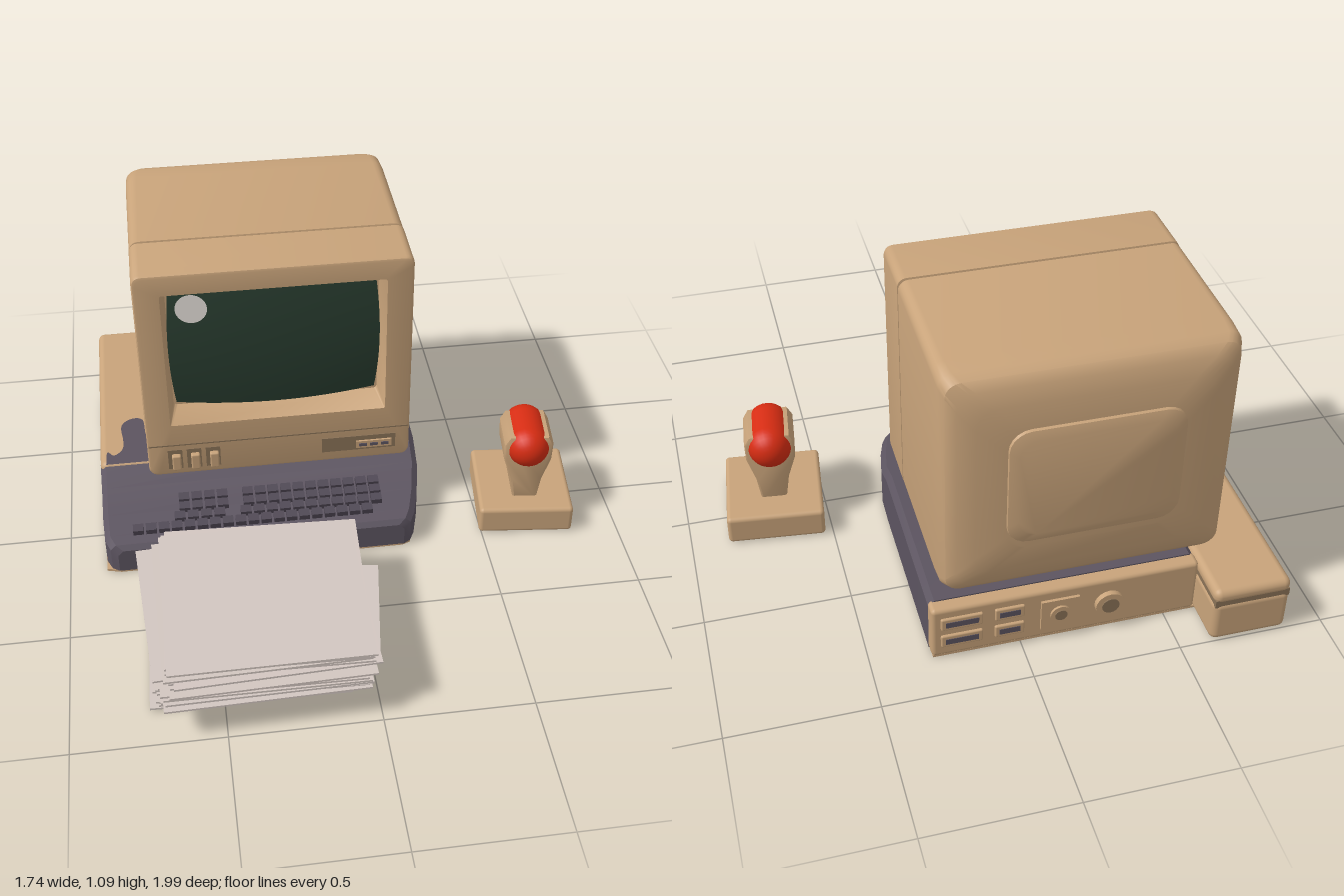
import * as THREE from 'three';
import { toCreasedNormals } from 'three/addons/utils/BufferGeometryUtils.js';
import { RoundedBoxGeometry } from 'three/addons/geometries/RoundedBoxGeometry.js';

const paint = (name, color) => {
  const m = new THREE.MeshStandardMaterial({ color });
  m.name = name;
  return m;
};

// Joins equal-length rings (counter-clockwise seen from +z) and caps both ends.
function loft(rings, crease = 0.6) {
  const n = rings[0].length, pos = rings.flat(2), idx = [];
  for (let i = 0; i < rings.length - 1; i++) {
    for (let j = 0; j < n; j++) {
      const a = i * n + j, b = i * n + (j + 1) % n;
      idx.push(a, b, b + n, a, b + n, a + n);
    }
  }
  const last = (rings.length - 1) * n;
  for (let j = 1; j < n - 1; j++) idx.push(0, j + 1, j, last, last + j, last + j + 1);
  const g = new THREE.BufferGeometry();
  g.setAttribute('position', new THREE.Float32BufferAttribute(pos, 3));
  g.setIndex(idx);
  return toCreasedNormals(g, crease);
}

// Rounded rectangle ring from its edges.
function roundRing(x0, x1, y0, y1, r, z) {
  const pts = [], corners = [[x1 - r, y0 + r], [x1 - r, y1 - r], [x0 + r, y1 - r], [x0 + r, y0 + r]];
  corners.forEach(([cx, cy], k) => {
    for (let s = 0; s <= 5; s++) {
      const a = (k - 1 + s / 5) * Math.PI / 2;
      pts.push([cx + r * Math.cos(a), cy + r * Math.sin(a), z]);
    }
  });
  return pts;
}

// Height of the keyboard deck at depth z.
function deckHeight(z) {
  if (z < -0.17) return 0.215;
  if (z < -0.06) return THREE.MathUtils.mapLinear(z, -0.17, -0.06, 0.215, 0.17);
  return THREE.MathUtils.mapLinear(z, -0.06, 0.2, 0.17, 0.115);
}

export function createModel() {
  const model = new THREE.Group();
  const tan = paint('tan plastic', 0xc8a37a);
  const brown = paint('recess brown', 0x8a7257);
  const dark = paint('dark purple grey plastic', 0x5c5460);
  const keyDark = paint('key grey', 0x4f4854);
  const green = paint('screen green', 0x293d30);
  const white = paint('glare white', 0xded9d3);
  const red = paint('red', 0xd62c12);
  const paper = paint('paper', 0xd2c6c0);

  const add = (parent, name, geo, mat, x = 0, y = 0, z = 0) => {
    const m = new THREE.Mesh(geo, mat);
    m.name = name;
    m.position.set(x, y, z);
    parent.add(m);
    return m;
  };
  const box = (parent, name, mat, w, h, d, x, y, z) =>
    add(parent, name, new THREE.BoxGeometry(w, h, d), mat, x, y, z);
  const group = (name) => {
    const g = new THREE.Group();
    g.name = name;
    model.add(g);
    return g;
  };

  // Monitor: one shell from the domed back, over the sides, into the screen recess
  const monitor = group('monitor');
  const outer = (inset, r, z) => roundRing(-0.692 + inset, 0.257 - inset, 0.235 + inset, 1.085 - inset, r, z);
  add(monitor, 'monitorShell', loft([
    outer(0.2, 0.06, -0.855), outer(0.1, 0.07, -0.84), outer(0.045, 0.06, -0.822),
    outer(0.015, 0.05, -0.8), outer(0.002, 0.045, -0.765), outer(0, 0.04, -0.7),
    outer(0, 0.035, -0.256), outer(0.007, 0.03, -0.254), outer(0.007, 0.03, -0.247), outer(0, 0.03, -0.245),
    outer(0, 0.03, -0.042), outer(0.004, 0.028, -0.033), outer(0.012, 0.025, -0.03),
    roundRing(-0.603, 0.165, 0.458, 1.006, 0.008, -0.03),
    roundRing(-0.585, 0.148, 0.485, 0.992, 0.015, -0.12),
  ]), tan);
  add(monitor, 'backPanel', loft([
    roundRing(-0.47, 0.03, 0.5, 0.87, 0.06, -0.873),
    roundRing(-0.5, 0.06, 0.465, 0.9, 0.07, -0.862),
    roundRing(-0.51, 0.07, 0.455, 0.91, 0.07, -0.82),
  ]), tan);
  box(monitor, 'foot', dark, 0.75, 0.06, 0.55, -0.215, 0.22, -0.42);

  // Bulging screen with bowed edges
  const screen = new THREE.PlaneGeometry(0.74, 0.51, 20, 16);
  const sp = screen.attributes.position;
  for (let i = 0; i < sp.count; i++) {
    const u = sp.getX(i) / 0.37, v = sp.getY(i) / 0.255;
    sp.setXYZ(i, u * 0.37 * (1 - 0.04 * v * v), v * 0.255 * (1 - 0.06 * u * u), 0.04 * (1 - 0.5 * u * u - 0.5 * v * v));
  }
  screen.computeVertexNormals();
  add(monitor, 'screen', screen, green, -0.2185, 0.74, -0.114);
  const glare = add(monitor, 'screenGlare', new THREE.CircleGeometry(0.055, 28), white, -0.5, 0.912, -0.082);
  glare.rotation.set(-0.06, -0.08, 0);

  // Lower control strip
  box(monitor, 'stripSeam', brown, 0.94, 0.005, 0.004, -0.217, 0.371, -0.0295);
  for (let i = 0; i < 3; i++) {
    const x = -0.595 + i * 0.068;
    box(monitor, 'knobRecess', brown, 0.052, 0.085, 0.004, x, 0.307, -0.029);
    add(monitor, 'knob', new RoundedBoxGeometry(0.032, 0.065, 0.024, 2, 0.006), tan, x + 0.004, 0.3, -0.022);
  }
  box(monitor, 'controlPanel', brown, 0.27, 0.062, 0.004, 0.07, 0.31, -0.029);
  box(monitor, 'panelTrim', tan, 0.13, 0.03, 0.012, 0.125, 0.306, -0.026);
  for (let i = 0; i < 3; i++) box(monitor, 'panelSlot', dark, 0.028, 0.012, 0.004, 0.085 + i * 0.04, 0.306, -0.019);

  // Computer case: lofted from back to front with a sloping deck
  const computer = group('computer');
  const section = (z, xl, xr, h = deckHeight(z), b = 0.02) => [
    [xl, 0.008, z], [xr, 0.008, z], [xr, h - b, z], [xr - b, h, z], [xl + b, h, z], [xl, h - b, z],
  ];
  add(computer, 'case', loft([
    section(-0.8, -0.61, 0.3), section(-0.17, -0.61, 0.3), section(-0.17, -0.872, 0.3),
    section(-0.06, -0.872, 0.297), section(0.06, -0.872, 0.275), section(0.15, -0.868, 0.25),
    section(0.19, -0.85, 0.23), section(0.205, -0.825, 0.205, 0.1),
  ], 0.4), dark);
  add(computer, 'casePanelBack', new RoundedBoxGeometry(0.91, 0.205, 0.06, 2, 0.015), tan, -0.155, 0.108, -0.815);
  const floor = new THREE.Shape([[-0.87, -0.19], [-0.82, -0.203], [0.2, -0.203], [0.23, -0.19], [0.295, 0.06],
    [0.295, 0.84], [-0.87, 0.84]].map(([x, y]) => new THREE.Vector2(x, y)));
  const floorGeo = new THREE.ExtrudeGeometry(floor, { depth: 0.009, bevelEnabled: false });
  add(computer, 'casePanelBottom', floorGeo.rotateX(-Math.PI / 2), tan);

  // Ports on the back
  for (const [x, y, w] of [[0.2, 0.15, 0.11], [0.2, 0.075, 0.11], [0.04, 0.075, 0.07], [0.04, 0.15, 0.07]]) {
    add(computer, 'portFrame', new RoundedBoxGeometry(w + 0.03, 0.05, 0.016, 2, 0.006), tan, x, y, -0.846);
    box(computer, 'portSlot', dark, w, 0.022, 0.006, x, y, -0.853);
  }
  box(computer, 'socketPlate', tan, 0.13, 0.12, 0.016, -0.13, 0.11, -0.847);
  for (const [x, r] of [[-0.13, 0.035], [-0.3, 0.05]]) {
    add(computer, 'roundSocket', new THREE.CylinderGeometry(r, r, 0.03, 20).rotateX(Math.PI / 2), tan, x, 0.11, -0.848);
    add(computer, 'socketHole', new THREE.CylinderGeometry(r * 0.6, r * 0.6, 0.004, 16).rotateX(Math.PI / 2), brown, x, 0.11, -0.864);
  }

  // Side unit along the right of the case
  add(computer, 'sideUnit', new RoundedBoxGeometry(0.267, 0.165, 0.86, 3, 0.025), tan, -0.7385, 0.0825, -0.57);
  add(computer, 'sideUnitLid', new RoundedBoxGeometry(0.267, 0.054, 0.86, 3, 0.025), tan, -0.7385, 0.189, -0.57);
  box(computer, 'sideUnitSeam', brown, 0.258, 0.03, 0.852, -0.7385, 0.163, -0.57);
  add(computer, 'sideUnitSocket', new THREE.TorusGeometry(0.022, 0.006, 8, 18), brown, -0.74, 0.095, -0.998 + 0.004);
  const patch = new THREE.Shape();
  patch.moveTo(-0.85, 0.14);
  patch.splineThru([[-0.845, 0.21], [-0.82, 0.19], [-0.79, 0.22], [-0.785, 0.27], [-0.79, 0.36], [-0.755, 0.4],
    [-0.71, 0.39], [-0.7, 0.3], [-0.68, 0.25], [-0.66, 0.14]].map(([x, y]) => new THREE.Vector2(x, y)));
  add(computer, 'deckPatch', new THREE.ShapeGeometry(patch).rotateX(-Math.PI / 2), dark, 0, 0.2175, 0);

  // Keyboard rows
  const keys = group('keyboard');
  const rows = [[0.02, -0.6, 0.14], [0.06, -0.6, 0.14], [0.1, -0.62, 0.14], [0.14, -0.77, 0.1]];
  rows.forEach(([z, x0, x1], r) => {
    const count = Math.round((x1 - x0) / 0.047), step = (x1 - x0) / count;
    for (let i = 0; i < count; i++) {
      if (r < 3 && i === 4) continue;
      const k = box(keys, 'key', keyDark, step * 0.82, 0.03, 0.032, x0 + (i + 0.5) * step, deckHeight(z) + 0.008, z);
      k.rotation.x = 0.2;
    }
  });

  // Paper stack: three shifted bundles of slightly turned sheets
  const stack = group('paperStack');
  let seed = 7;
  const rand = () => ((seed = (seed * 16807) % 2147483647) / 2147483647) * 2 - 1;
  for (let i = 0; i < 25; i++) {
    const [cx, cz, d] = i < 10 ? [-0.39, 0.575, 0.57] : i < 17 ? [-0.36, 0.66, 0.6] : [-0.35, 0.63, 0.63];
    const top = i === 24;
    const s = box(stack, 'sheet', paper, 0.66, 0.0075, d, cx + rand() * 0.015, 0.013 + i * 0.0103, cz + rand() * 0.015);
    s.rotation.set(top ? 0 : rand() * 0.006, top ? 0 : rand() * 0.045, top ? 0 : rand() * 0.006);
  }
  for (const [x, y, z, turn] of [[-0.29, 0.15, 0.62, -0.14], [-0.41, 0.2, 0.6, 0.06], [-0.37, 0.135, 0.685, 0.02]]) {
    box(stack, 'looseSheet', paper, 0.66, 0.007, turn < 0 ? 0.43 : 0.6, x, y, z).rotation.y = turn;
  }

  // Joystick
  const joystick = group('joystick');
  joystick.position.set(0.68, 0, 0.02);
  joystick.rotation.y = -0.11;
  add(joystick, 'joystickBase', new RoundedBoxGeometry(0.343, 0.108, 0.357, 3, 0.015), tan, 0, 0.054, 0);
  const grip = new THREE.Shape([[-0.037, 0.1], [0.037, 0.1], [0.05, 0.19], [0.078, 0.28], [0.08, 0.345], [0.065, 0.372],
    [-0.065, 0.372], [-0.08, 0.345], [-0.078, 0.28], [-0.05, 0.19]].map(([x, y]) => new THREE.Vector2(x, y)));
  const gripGeo = new THREE.ExtrudeGeometry(grip, { depth: 0.15, bevelThickness: 0.01, bevelSize: 0.008, bevelSegments: 2 });
  add(joystick, 'joystickHandle', toCreasedNormals(gripGeo, 0.6), tan, 0, 0, -0.06);
  add(joystick, 'redGrip', new THREE.CapsuleGeometry(0.078, 0.115, 8, 24).rotateX(Math.PI / 2), red, 0, 0.325, 0.012);
  return model;
}
